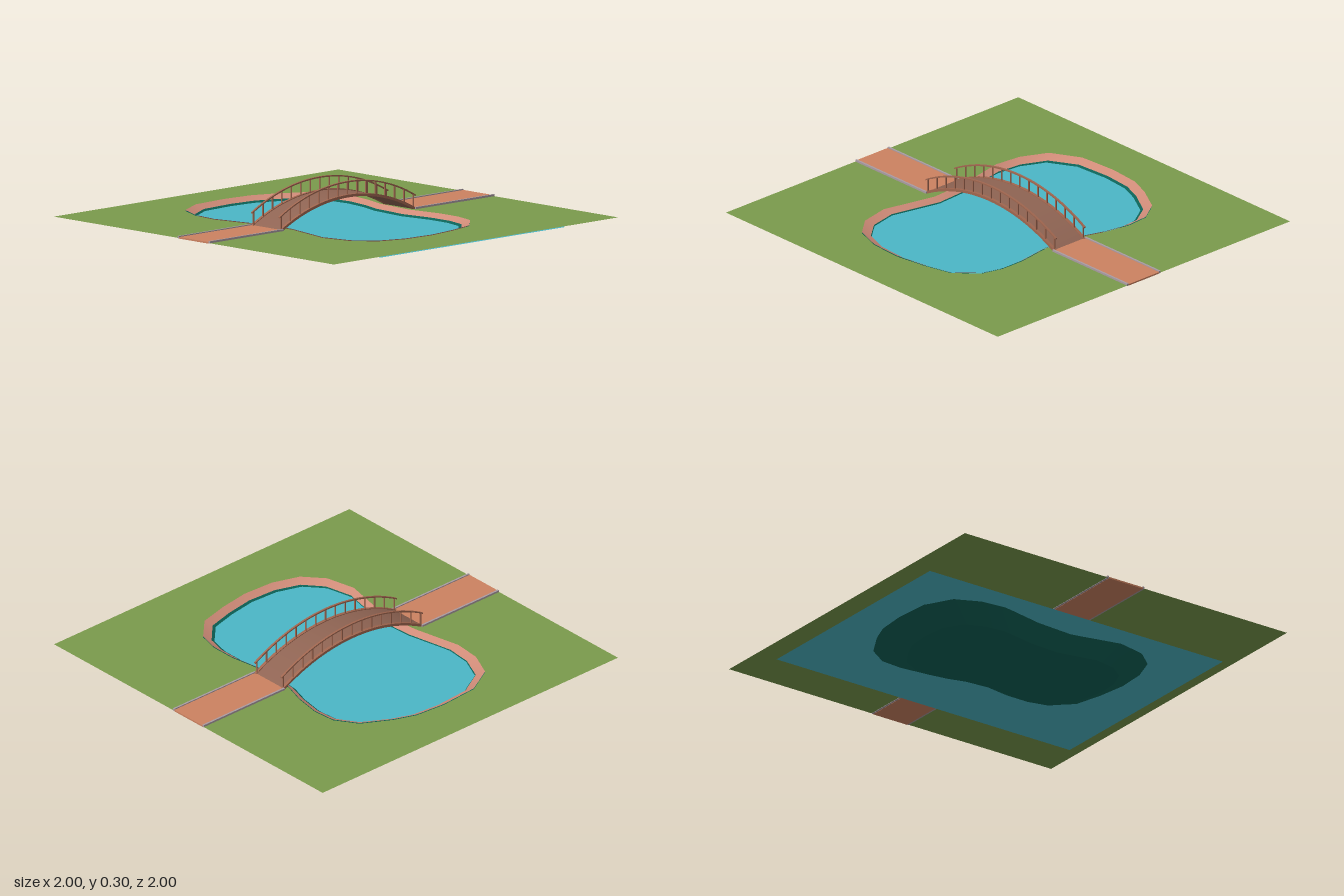
import * as THREE from 'three';
import { toCreasedNormals } from 'three/addons/utils/BufferGeometryUtils.js';

const material = (name, color) => {
  const m = new THREE.MeshStandardMaterial({ color, side: THREE.DoubleSide });
  m.name = name;
  return m;
};

// Pond outline seen from above: [x, z]
const OUTLINE = [
  [-.76, .04], [-.745, -.13], [-.70, -.25], [-.615, -.40], [-.50, -.475],
  [-.375, -.485], [-.235, -.46], [-.11, -.42], [.11, -.40], [.30, -.43],
  [.435, -.43], [.55, -.40], [.66, -.29], [.70, -.13], [.725, .04],
  [.715, .215], [.665, .36], [.56, .45], [.40, .485], [.11, .42],
  [-.11, .435], [-.375, .49], [-.52, .475], [-.66, .41], [-.745, .255],
];

const GROUND_Y = 0.1;
const WATER_Y = 0.074;

// Bridge arch: circle arc over the chord from z = -0.46 to z = 0.495
const MID_Z = 0.018, HALF_SPAN = 0.478, RISE = 0.125;
const RADIUS = (HALF_SPAN ** 2 + RISE ** 2) / (2 * RISE);
const archY = (s) => GROUND_Y + RISE - RADIUS + Math.sqrt(RADIUS ** 2 - s * s);

// Outline scaled towards the middle, at height y
const loopAt = (y, sx, sz, dz = 0) =>
  OUTLINE.map(([x, z]) => new THREE.Vector3(x * sx, y, z * sz + dz));

// Band of quads between two closed loops, facing up and inwards
function band(outer, inner) {
  const n = outer.length;
  const index = [];
  for (let i = 0; i < n; i++) {
    const j = (i + 1) % n;
    index.push(i, n + i, j, j, n + i, n + j);
  }
  const geo = new THREE.BufferGeometry().setFromPoints([...outer, ...inner]);
  geo.setIndex(index);
  geo.computeVertexNormals();
  return geo;
}

// Flat horizontal sheet from a shape drawn in (x, -z)
function sheet(shape, y) {
  return new THREE.ShapeGeometry(shape).rotateX(-Math.PI / 2).translate(0, y, 0);
}
const toShapePoints = (loop) => loop.map((p) => new THREE.Vector2(p.x, -p.z));

// Arched bar following the bridge, lifted above the deck curve
function archBar(width, thickness, lift) {
  const top = [], bottom = [];
  const steps = 28;
  for (let i = 0; i <= steps; i++) {
    const s = -HALF_SPAN + (2 * HALF_SPAN * i) / steps;
    const y = archY(s) + lift;
    top.push(new THREE.Vector2(s, y));
    bottom.unshift(new THREE.Vector2(s, y - thickness));
  }
  const geo = new THREE.ExtrudeGeometry(new THREE.Shape([...top, ...bottom]), {
    depth: width, bevelEnabled: false,
  });
  geo.rotateY(-Math.PI / 2).translate(width / 2, 0, MID_Z);
  return toCreasedNormals(geo, 0.5);
}

export function createModel() {
  const mats = {
    grass: material('grass green', 0x7a9a4c),
    path: material('path terracotta', 0xcc8260),
    curb: material('curb grey', 0xaa9ca2),
    rim: material('bank pink', 0xcf8b78),
    water: material('water blue', 0x4bb6c6),
    basin: material('basin teal', 0x0b6156),
    deck: material('deck brown', 0x8f6453),
    rail: material('rail brown', 0xa0664f),
  };
  const model = new THREE.Group();
  model.name = 'pondWithBridge';
  const add = (name, geo, mat, parent = model) => {
    const mesh = new THREE.Mesh(geo, mat);
    mesh.name = name;
    parent.add(mesh);
    return mesh;
  };

  // Lawn with the pond cut out
  const outer = loopAt(GROUND_Y, 1, 1);
  const lawn = new THREE.Shape([
    new THREE.Vector2(-1, -1), new THREE.Vector2(1, -1),
    new THREE.Vector2(1, 1), new THREE.Vector2(-1, 1),
  ]);
  lawn.holes.push(new THREE.Path(toShapePoints(outer)));
  add('lawn', sheet(lawn, GROUND_Y), mats.grass);

  // Pond: sloping basin, flat floor, bank and water sheet
  const floorLoop = loopAt(0, .745, .655, .03);
  add('basinWall', band(outer, floorLoop), mats.basin);
  add('basinFloor', sheet(new THREE.Shape(toShapePoints(floorLoop)), 0), mats.basin);
  add('bank', band(loopAt(.104, 1, 1), loopAt(.083, .947, .922)), mats.rim);
  const water = new THREE.PlaneGeometry(1.82, 1.3).rotateX(-Math.PI / 2);
  add('water', water, mats.water).position.set(0, WATER_Y, -.07);

  // Path on both sides of the bridge, with curbs
  for (const [name, z0, z1] of [['back', -1, -.45], ['front', .48, 1]]) {
    const length = z1 - z0, mid = (z0 + z1) / 2;
    add(name + 'Path', new THREE.BoxGeometry(.21, .008, length), mats.path)
      .position.set(0, GROUND_Y + .001, mid);
    for (const side of [-1, 1]) {
      add(name + 'Curb', new THREE.BoxGeometry(.01, .012, length), mats.curb)
        .position.set(side * .11, GROUND_Y + .004, mid);
    }
  }

  // Arched bridge
  const bridge = new THREE.Group();
  bridge.name = 'bridge';
  model.add(bridge);
  add('deck', archBar(.2, .008, 0), mats.deck, bridge);
  const postGeo = new THREE.BoxGeometry(.007, .07, .005);
  for (const side of [-1, 1]) {
    add('sideBeam', archBar(.016, .014, .004), mats.rail, bridge).position.x = side * .1;
    add('handrail', archBar(.011, .007, .072), mats.rail, bridge).position.x = side * .098;
    for (let i = 0; i < 15; i++) {
      const s = (i - 7) * .0665;
      add('railPost', postGeo, mats.rail, bridge)
        .position.set(side * .098, archY(s) + .034, MID_Z + s);
    }
  }
  return model;
}
